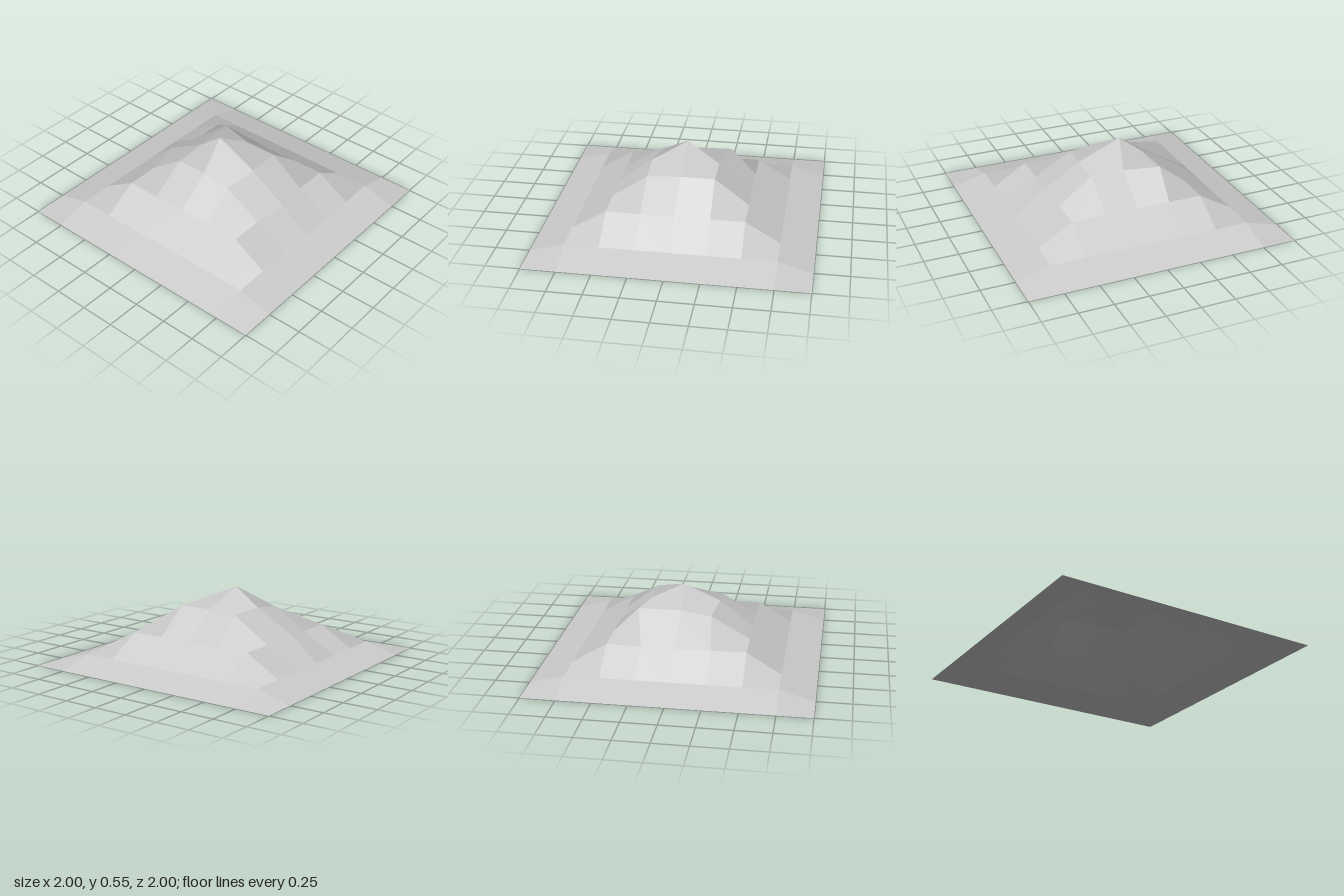
import * as THREE from 'three';

const CELLS = 8;
const STEP = 2 / CELLS;
// Height of each square ring, from the centre out to the rim
const RING_HEIGHTS = [0.55, 0.41, 0.22, 0.07, 0];

// Grid points nudged off the regular pattern, keyed by column,row from the centre
const NUDGED = {
  '0,0': [-0.07, 0.55, -0.01],
  '-1,-1': [-0.26, 0.415, -0.31],
  '-1,1': [-0.26, 0.38, 0.22],
  '1,1': [0.22, 0.38, 0.25],
  '-2,0': [-0.55, 0.24, 0],
  '2,0': [0.53, 0.23, 0],
};

function gridPoint(i, j) {
  const moved = NUDGED[`${i},${j}`];
  if (moved) return new THREE.Vector3(...moved);
  const ring = Math.max(Math.abs(i), Math.abs(j));
  return new THREE.Vector3(i * STEP, RING_HEIGHTS[ring], j * STEP);
}

// Open height field, each four-sided facet shaded with a single normal
function hillGeometry() {
  const positions = [];
  const normals = [];
  const half = CELLS / 2;
  for (let j = -half; j < half; j++) {
    for (let i = -half; i < half; i++) {
      const backLeft = gridPoint(i, j);
      const frontLeft = gridPoint(i, j + 1);
      const frontRight = gridPoint(i + 1, j + 1);
      const backRight = gridPoint(i + 1, j);
      const normal = frontRight.clone().sub(backLeft)
        .cross(backRight.clone().sub(frontLeft)).normalize();
      const corners = [backLeft, frontLeft, backRight, frontLeft, frontRight, backRight];
      for (const p of corners) {
        positions.push(p.x, p.y, p.z);
        normals.push(normal.x, normal.y, normal.z);
      }
    }
  }
  const geometry = new THREE.BufferGeometry();
  geometry.setAttribute('position', new THREE.Float32BufferAttribute(positions, 3));
  geometry.setAttribute('normal', new THREE.Float32BufferAttribute(normals, 3));
  return geometry;
}

export function createModel() {
  const group = new THREE.Group();
  group.name = 'mountain';

  const stone = new THREE.MeshStandardMaterial({ color: 0xcccccc, side: THREE.DoubleSide });
  stone.name = 'stone grey';

  const hill = new THREE.Mesh(hillGeometry(), stone);
  hill.name = 'hillside';
  group.add(hill);
  return group;
}
